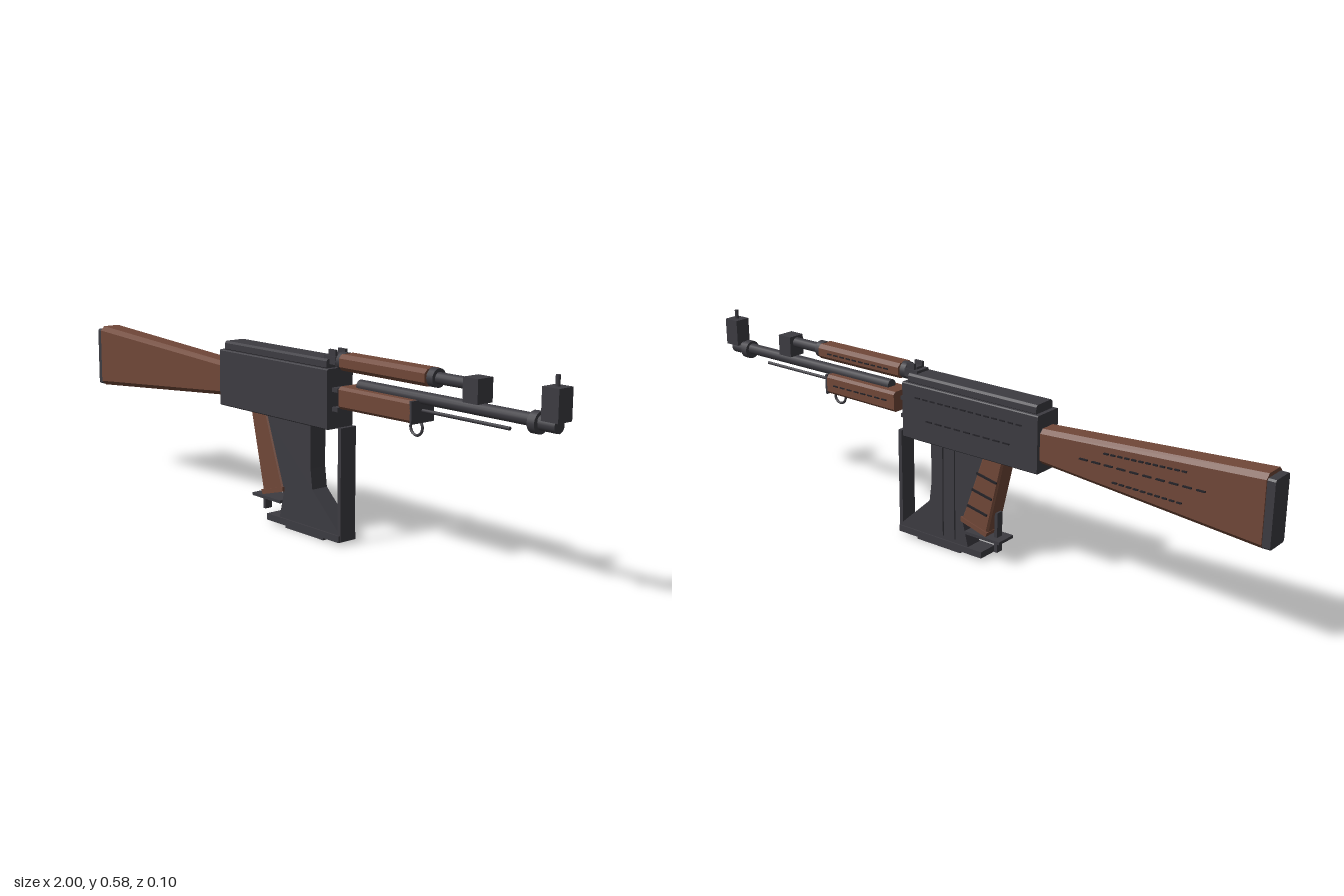
import * as THREE from 'three';

const mat = (name, color) => {
  const m = new THREE.MeshStandardMaterial({ color });
  m.name = name;
  return m;
};

export function createModel() {
  const metal = mat('gunmetal', 0x3c3b41);
  const wood = mat('brown wood', 0x704738);
  const dark = mat('dark groove', 0x242328);
  const root = new THREE.Group();
  root.name = 'propRifle';

  const add = (name, geo, material, x = 0, y = 0, z = 0) => {
    const m = new THREE.Mesh(geo, material);
    m.name = name;
    m.position.set(x, y, z);
    root.add(m);
    return m;
  };
  // box given by its limits
  const box = (name, material, x0, x1, y0, y1, z0, z1) =>
    add(name, new THREE.BoxGeometry(x1 - x0, y1 - y0, z1 - z0), material,
      (x0 + x1) / 2, (y0 + y1) / 2, (z0 + z1) / 2);
  // cylinder lying along x
  const rod = (name, material, x0, x1, y, r, sides = 16) =>
    add(name, new THREE.CylinderGeometry(r, r, x1 - x0, sides).rotateZ(-Math.PI / 2),
      material, (x0 + x1) / 2, y);
  // chamfered octagonal sections [x, bottom, top, half width, chamfer] joined along x
  const loft = (name, material, sections) => {
    const rings = sections.map(([x, b, t, h, c]) => [
      [-h, b + c], [-h, t - c], [-h + c, t], [h - c, t],
      [h, t - c], [h, b + c], [h - c, b], [-h + c, b],
    ].map(([z, y]) => [x, y, z]));
    const v = [];
    const tri = (...p) => p.forEach((q) => v.push(...q));
    for (let i = 0; i < rings.length - 1; i++) {
      for (let j = 0; j < 8; j++) {
        const k = (j + 1) % 8, A = rings[i], B = rings[i + 1];
        tri(A[j], A[k], B[j]);
        tri(A[k], B[k], B[j]);
      }
    }
    const first = rings[0], last = rings[rings.length - 1];
    for (let j = 1; j < 7; j++) {
      tri(first[0], first[j + 1], first[j]);
      tri(last[0], last[j], last[j + 1]);
    }
    const g = new THREE.BufferGeometry();
    g.setAttribute('position', new THREE.Float32BufferAttribute(v, 3));
    g.computeVertexNormals();
    return add(name, g, material);
  };
  // side outline extruded symmetrically in z
  const slab = (name, material, pts, half, bevel = 0) => {
    const shape = new THREE.Shape(pts.map(([x, y]) => new THREE.Vector2(x, y)));
    const depth = 2 * (half - bevel);
    const g = new THREE.ExtrudeGeometry(shape, {
      depth, bevelEnabled: bevel > 0, bevelThickness: bevel,
      bevelSize: bevel, bevelOffset: -bevel, bevelSegments: 1,
    });
    return add(name, g.translate(0, 0, -depth / 2), material);
  };

  // stock
  loft('stock', wood, [[-0.977, 0.3, 0.503, 0.042, 0.014], [-0.285, 0.36, 0.462, 0.036, 0.012]]);
  loft('buttPlate', metal, [[-1, 0.303, 0.492, 0.038, 0.005], [-0.976, 0.303, 0.492, 0.038, 0.005]]);

  // receiver and its top cover
  loft('receiver', metal, [[-0.29, 0.332, 0.504, 0.048, 0.003], [0.205, 0.332, 0.504, 0.048, 0.003]]);
  loft('topCover', metal, [[-0.277, 0.5, 0.53, 0.038, 0.006], [0.19, 0.5, 0.53, 0.038, 0.006]]);
  for (const y of [0.39, 0.445]) box('receiverPin', metal, 0.2, 0.228, y - 0.006, y + 0.006, -0.03, 0.03);

  // rear sight
  box('rearSightBase', metal, 0.165, 0.215, 0.515, 0.538, -0.026, 0.026);
  box('rearSightLeaf', metal, 0.178, 0.232, 0.534, 0.545, -0.013, 0.013);
  for (const s of [-1, 1]) box('rearSightEar', metal, 0.18, 0.21, 0.535, 0.556, s * 0.018 - 0.004, s * 0.018 + 0.004);
  box('rearSightLink', metal, 0.205, 0.245, 0.51, 0.535, -0.018, 0.018);

  // upper handguard and gas tube
  loft('upperHandguard', wood, [[0.235, 0.502, 0.548, 0.032, 0.011], [0.565, 0.502, 0.548, 0.032, 0.011]]);
  rod('rearTubeCollar', metal, 0.215, 0.238, 0.525, 0.026);
  rod('frontTubeCollar', metal, 0.562, 0.587, 0.525, 0.026);
  rod('gasTube', metal, 0.58, 0.7, 0.525, 0.016);
  box('gasBlock', metal, 0.695, 0.746, 0.481, 0.546, -0.028, 0.028);

  // barrel and front sight
  rod('barrel', metal, 0.29, 0.98, 0.465, 0.017);
  rod('barrelCollar', metal, 0.905, 0.928, 0.461, 0.029);
  rod('muzzle', metal, 0.93, 0.982, 0.461, 0.019);
  box('frontSight', metal, 0.946, 0.998, 0.472, 0.556, -0.026, 0.026);
  add('frontSightPost', new THREE.CylinderGeometry(0.006, 0.006, 0.035, 8), metal, 0.972, 0.567);
  rod('cleaningRod', metal, 0.52, 0.83, 0.431, 0.005, 8);

  // lower handguard and sling ring
  loft('lowerHandguard', wood, [[0.245, 0.397, 0.46, 0.042, 0.008], [0.524, 0.4, 0.46, 0.042, 0.008]]);
  box('handguardCap', metal, 0.523, 0.53, 0.398, 0.46, -0.042, 0.042);
  add('slingRing', new THREE.TorusGeometry(0.022, 0.004, 6, 20), metal, 0.508, 0.383);

  // magazine, floor plate and front strip
  slab('magazine', metal, [[-0.1, 0.335], [-0.01, 0.1], [-0.03, 0.02], [0.235, 0.02],
    [0.235, 0.035], [0.12, 0.14], [0.112, 0.2], [0.112, 0.335]], 0.028);
  box('floorPlate', metal, -0.082, 0.24, 0.008, 0.028, -0.033, 0.033);
  box('floorPlateFoot', metal, 0, 0.17, 0, 0.01, -0.03, 0.03);
  box('frontStrip', metal, 0.229, 0.242, 0.01, 0.34, -0.028, 0.028);
  for (const x of [0.02, 0.065]) box('magazineRib', metal, x, x + 0.012, 0.04, 0.325, -0.033, -0.027);

  // grip with end cap
  slab('grip', wood, [[-0.16, 0.335], [-0.085, 0.335], [-0.005, 0.112], [-0.102, 0.088]], 0.032, 0.006);
  slab('gripCap', wood, [[-0.106, 0.098], [-0.006, 0.124], [-0.006, 0.11], [-0.1, 0.084]], 0.036);
  box('lowerGuard', metal, -0.15, -0.02, 0.071, 0.08, -0.034, 0.034);
  box('lowerGuardTab', metal, -0.126, -0.115, 0.032, 0.158, -0.012, 0.012);

  // thin dashes on the back side
  const dashRow = (name, x0, x1, y0, y1, z, n) => {
    const step = (x1 - x0) / n;
    for (let i = 0; i < n; i++) {
      const x = x0 + (i + 0.5) * step, y = y0 + (y1 - y0) * (i + 0.5) / n;
      box(name, dark, x - step * 0.32, x + step * 0.32, y - 0.002, y + 0.002, z - 0.003, z + 0.003);
    }
  };
  dashRow('receiverDash', -0.24, 0.16, 0.465, 0.465, -0.048, 14);
  dashRow('receiverDash', -0.2, 0.12, 0.4, 0.4, -0.048, 9);
  dashRow('stockDash', -0.76, -0.5, 0.455, 0.445, -0.042, 12);
  dashRow('stockDash', -0.82, -0.42, 0.415, 0.413, -0.043, 10);
  dashRow('stockDash', -0.75, -0.53, 0.365, 0.37, -0.042, 10);
  dashRow('handguardDash', 0.27, 0.5, 0.43, 0.43, -0.042, 8);
  dashRow('upperHandguardDash', 0.27, 0.53, 0.525, 0.525, -0.032, 10);

  // grip grooves
  for (const y of [0.27, 0.215, 0.16]) {
    const x = -0.122 + (0.335 - y) * 0.31;
    box('gripGroove', dark, x - 0.037, x + 0.037, y - 0.003, y + 0.003, -0.037, -0.031).rotation.z = 0.2;
  }
  return root;
}
